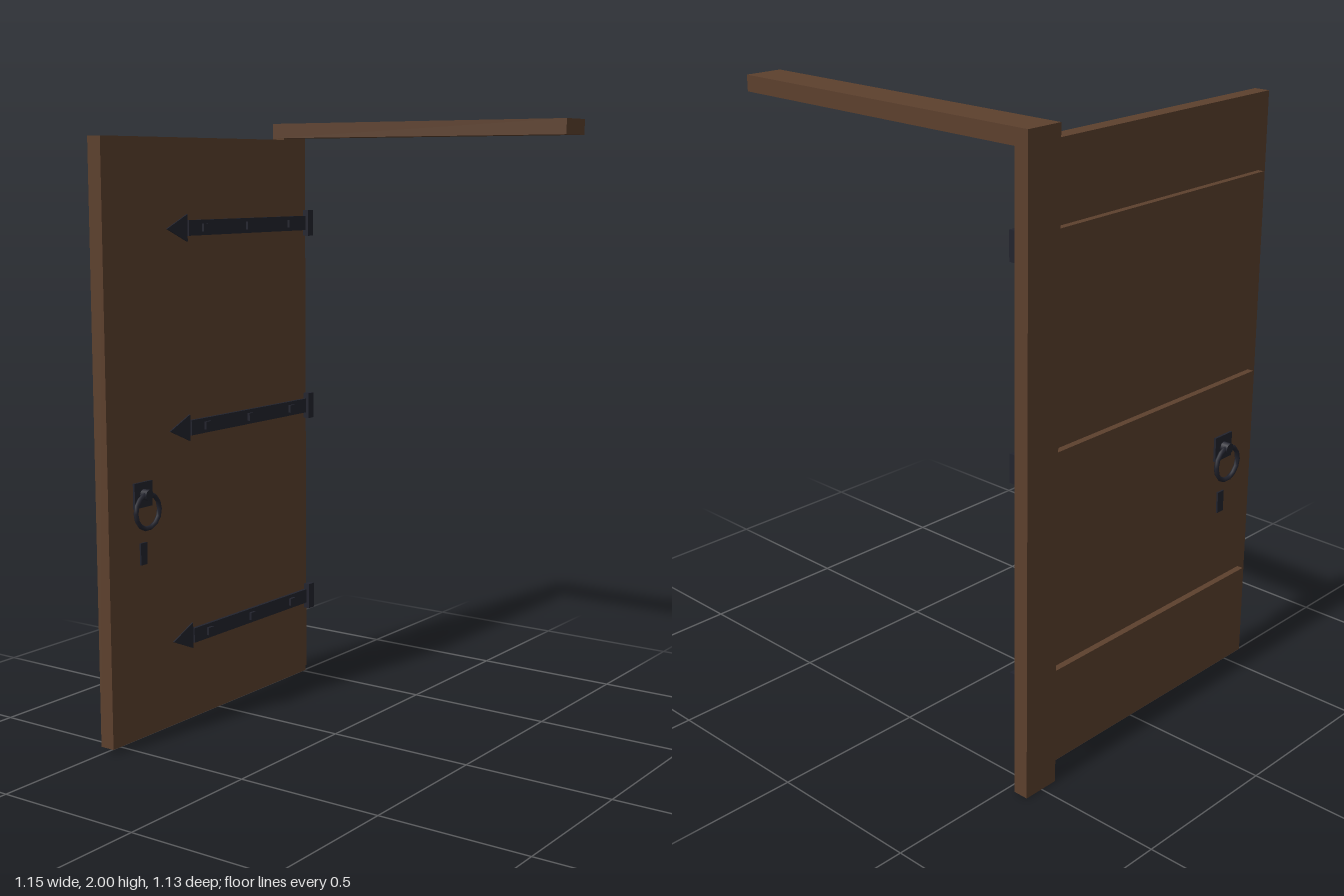
import * as THREE from 'three';

export function createModel() {
  const model = new THREE.Group();
  model.name = 'openDoor';
  const wood = new THREE.MeshStandardMaterial({ color: 0x5c402d });
  wood.name = 'brown wood';
  const iron = new THREE.MeshStandardMaterial({ color: 0x22232d });
  iron.name = 'dark iron';

  const add = (parent, name, geometry, material) => {
    const mesh = new THREE.Mesh(geometry, material);
    mesh.name = name;
    parent.add(mesh);
    return mesh;
  };
  // Box given by its limits on each axis
  const box = (parent, name, material, [x0, x1], [y0, y1], [z0, z1]) => {
    const mesh = add(parent, name, new THREE.BoxGeometry(x1 - x0, y1 - y0, z1 - z0), material);
    mesh.position.set((x0 + x1) / 2, (y0 + y1) / 2, (z0 + z1) / 2);
    return mesh;
  };

  // Frame: one post and the lintel
  const frameZ = [-0.565, -0.44];
  box(model, 'post', wood, [-0.578, -0.529], [0, 1.95], frameZ);
  box(model, 'lintel', wood, [-0.578, 0.576], [1.95, 2], frameZ);

  // Door leaf, swung open towards the front
  const inner = -0.519, outer = -0.467;
  box(model, 'doorLeaf', wood, [inner, outer], [0.015, 1.942], [-0.474, 0.565]);

  // Arrow-shaped end of a hinge strap
  const arrow = new THREE.Shape();
  arrow.moveTo(-0.17, -0.044);
  arrow.lineTo(-0.17, 0.044);
  arrow.lineTo(-0.27, 0);
  arrow.closePath();

  // Ledges on the back, hinges on the face
  for (const y of [1.655, 1.004, 0.3]) {
    box(model, 'ledge', wood, [-0.54, inner], [y - 0.046, y + 0.046], [-0.44, 0.53]);

    const hinge = new THREE.Group();
    hinge.name = 'hinge';
    model.add(hinge);
    box(hinge, 'hingeStrap', iron, [outer, -0.456], [y - 0.025, y + 0.025], [-0.475, 0.17]);
    box(hinge, 'hingeKnuckle', iron, [outer, -0.445], [y - 0.045, y + 0.045], [-0.497, -0.467]);
    for (const z of [-0.373, -0.14, 0.092]) {
      box(hinge, 'rivet', iron, [-0.457, -0.447], [y - 0.013, y + 0.013], [z - 0.013, z + 0.013]);
    }
    const tip = add(hinge, 'hingeTip',
      new THREE.ExtrudeGeometry(arrow, { depth: 0.005, bevelEnabled: false }), iron);
    tip.rotation.y = Math.PI / 2;
    tip.position.set(outer, y, 0);
  }

  // Ring handle and keyhole plate on both faces
  const middle = (inner + outer) / 2;
  for (const side of [1, -1]) {
    const handle = new THREE.Group();
    handle.name = side > 0 ? 'faceHandle' : 'backHandle';
    handle.position.set(middle, 0, 0.408);
    handle.rotation.y = side > 0 ? 0 : Math.PI;
    model.add(handle);
    const surface = (outer - inner) / 2;
    box(handle, 'handlePlate', iron, [surface, surface + 0.008], [0.778, 0.86], [-0.042, 0.042]);
    box(handle, 'keyholePlate', iron, [surface, surface + 0.006], [0.59, 0.662], [-0.015, 0.015]);
    const boss = add(handle, 'handleBoss', new THREE.CylinderGeometry(0.018, 0.018, 0.034, 8), iron);
    boss.rotation.z = Math.PI / 2;
    boss.position.set(surface + 0.017, 0.82, 0);
    const ring = add(handle, 'handleRing', new THREE.TorusGeometry(0.056, 0.008, 6, 14), iron);
    ring.rotation.y = Math.PI / 2;
    ring.position.set(surface + 0.024, 0.767, 0);
  }

  return model;
}
